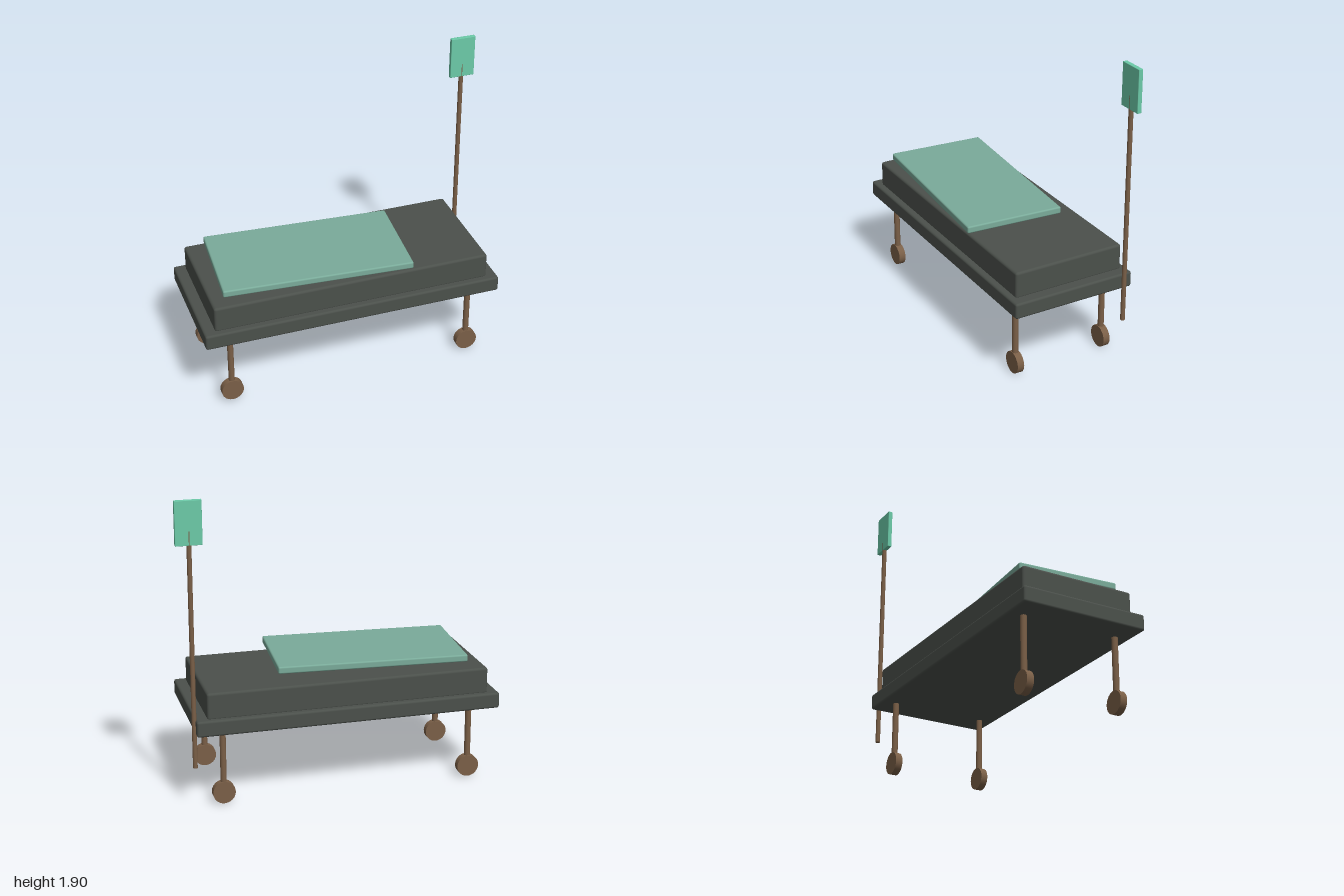
import * as THREE from 'three';
import { RoundedBoxGeometry } from 'three/addons/geometries/RoundedBoxGeometry.js';

export function createModel() {
  const model = new THREE.Group();
  model.name = 'wheeledStretcher';

  const material = (name, color) => {
    const m = new THREE.MeshStandardMaterial({ color });
    m.name = name;
    return m;
  };
  const charcoal = material('charcoal', 0x4b504b);
  const sage = material('sageCloth', 0x7aab9a);
  const mint = material('mintPanel', 0x6ccaa8);
  const brown = material('brownMetal', 0x7a5f47);

  const add = (name, geometry, mat, x, y, z, parent = model) => {
    const mesh = new THREE.Mesh(geometry, mat);
    mesh.name = name;
    mesh.position.set(x, y, z);
    parent.add(mesh);
    return mesh;
  };

  // Bed platform and mattress
  add('bedFrame', new RoundedBoxGeometry(1.91, 0.1, 0.8, 2, 0.014), charcoal, -0.045, 0.52, 0);
  add('mattress', new RoundedBoxGeometry(1.77, 0.17, 0.725, 2, 0.016), charcoal, -0.045, 0.645, -0.003);

  // Blanket, hovering slightly askew above the mattress
  const blanket = add('blanket', new RoundedBoxGeometry(1.19, 0.045, 0.63, 2, 0.01), sage, -0.242, 0.787, 0.038);
  blanket.rotation.y = -0.07;

  // Four legs, each with a wheel
  const legGeometry = new THREE.CylinderGeometry(0.019, 0.019, 0.4, 16);
  const wheelGeometry = new THREE.CylinderGeometry(0.07, 0.07, 0.044, 24);
  wheelGeometry.rotateX(Math.PI / 2);
  for (const x of [-0.83, 0.74]) {
    for (const z of [-0.305, 0.305]) {
      const caster = new THREE.Group();
      caster.name = 'legWithWheel';
      caster.position.set(x, 0, z);
      add('leg', legGeometry, brown, 0, 0.28, 0, caster);
      add('wheel', wheelGeometry, brown, 0, 0.07, 0, caster);
      model.add(caster);
    }
  }

  // Upright pole carrying a small panel
  add('pole', new THREE.CylinderGeometry(0.0145, 0.0145, 1.46, 16), brown, 0.917, 0.99, -0.341);
  add('polePanel', new RoundedBoxGeometry(0.16, 0.265, 0.028, 1, 0.003), mint, 0.919, 1.7675, -0.341);

  return model;
}
